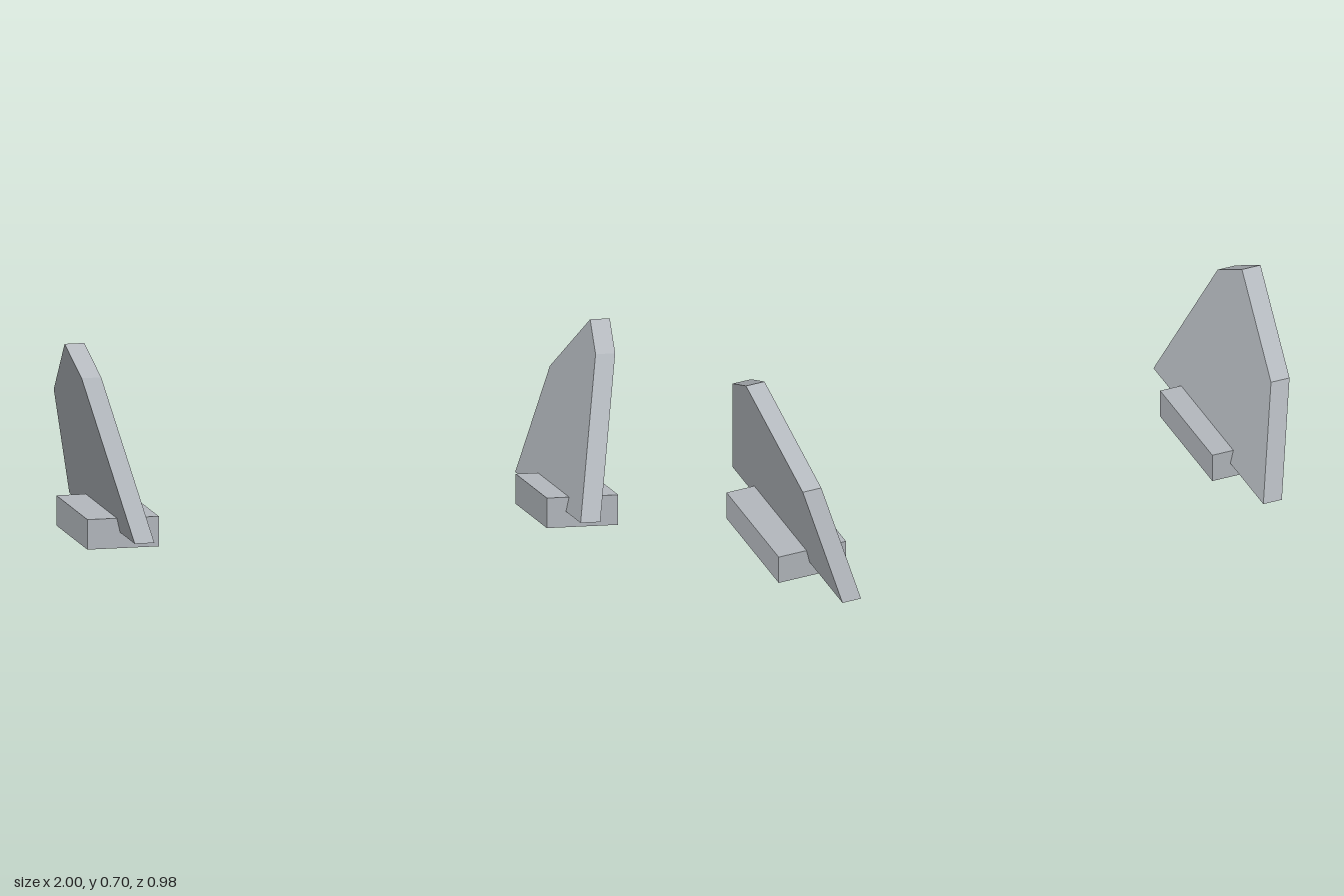
import * as THREE from 'three';

const BASE_Y = 0.057;   // height of the fin's lower edge
const SLANT = 0.226;    // outward lean per unit of height
const THICK = 0.072;

export function createModel() {
  const model = new THREE.Group();
  const grey = new THREE.MeshStandardMaterial({ color: 0xb4b9be });
  grey.name = 'lightGrey';

  // Fin outline as [z, y]
  const outline = [[0.49, BASE_Y], [-0.49, BASE_Y], [-0.347, 0.465], [0.036, 0.704], [0.204, 0.61]];
  const shape = new THREE.Shape(outline.map(([z, y]) => new THREE.Vector2(-z, y)));

  for (const [name, side] of [['left', 1], ['right', -1]]) {
    // Slab leaning outward, with its lower edge kept level
    const fin = new THREE.ExtrudeGeometry(shape, { depth: THICK, bevelEnabled: false });
    fin.translate(0, 0, -THICK / 2).rotateY(Math.PI / 2);
    const pos = fin.attributes.position;
    for (let i = 0; i < pos.count; i++) {
      pos.setX(i, pos.getX(i) + side * (0.818 + SLANT * (pos.getY(i) - BASE_Y)));
    }
    fin.computeVertexNormals();
    const finMesh = new THREE.Mesh(fin, grey);
    finMesh.name = name + 'Fin';

    // Block that the fin stands in
    const foot = new THREE.Mesh(new THREE.BoxGeometry(0.262, 0.109, 0.466), grey);
    foot.position.set(side * 0.843, 0.0545, 0.037);
    foot.name = name + 'Foot';

    model.add(finMesh, foot);
  }
  return model;
}
